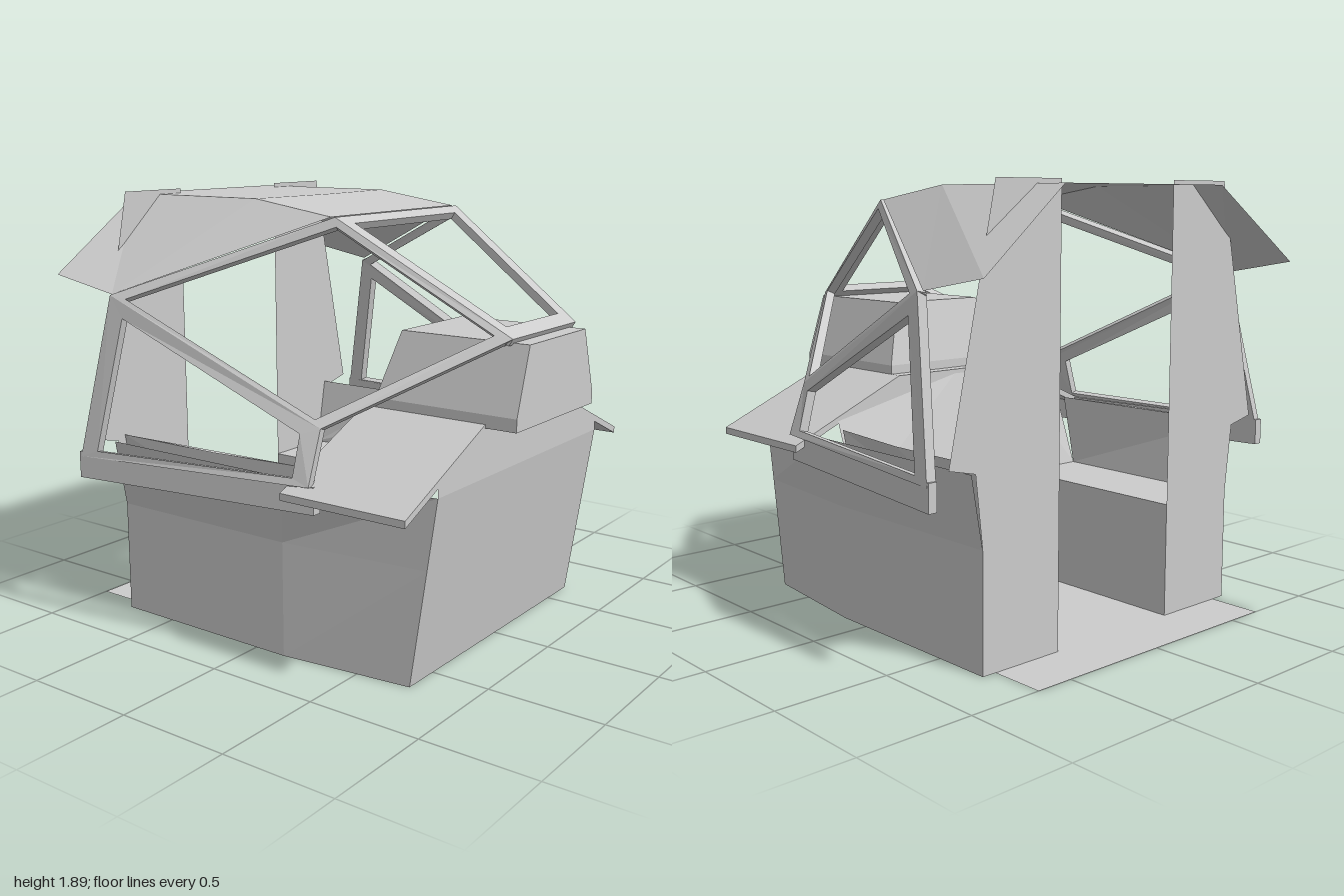
import * as THREE from 'three';

const V = (p) => new THREE.Vector3(...p);
const thin = new THREE.MeshStandardMaterial({ color: 0xcccccc, side: THREE.DoubleSide });
const solid = new THREE.MeshStandardMaterial({ color: 0xcccccc });

// Flat-shaded geometry from convex polygons, each cut into a fan
function polygons(list) {
  const pos = [];
  for (const p of list) {
    for (let i = 1; i < p.length - 1; i++) pos.push(...p[0], ...p[i], ...p[i + 1]);
  }
  const g = new THREE.BufferGeometry();
  g.setAttribute('position', new THREE.Float32BufferAttribute(pos, 3));
  g.computeVertexNormals();
  return g;
}

// Polygons reflected in x, with their corner order reversed
const mirror = (list) => list.map((p) => p.map(([x, y, z]) => [-x, y, z]).reverse());

// Quads joining two loops of equal length
const band = (a, b) => a.map((p, i) => {
  const j = (i + 1) % a.length;
  return [p, a[j], b[j], b[i]];
});

// Mitred window frame: outer corners, a bar width per edge, a depth inwards
function frame(corners, widths, depth) {
  const p = corners.map(V), n = p.length;
  const edge = p.map((q, i) => p[(i + 1) % n].clone().sub(q).normalize());
  const normal = new THREE.Vector3();
  edge.forEach((e, i) => normal.add(e.clone().cross(edge[(i + 1) % n])));
  normal.normalize();
  const inner = p.map((q, i) => {
    const h = (i + n - 1) % n;
    const s = edge[h].clone().cross(edge[i]).length();
    return q.clone().addScaledVector(edge[i], widths[h] / s).addScaledVector(edge[h], -widths[i] / s);
  });
  const back = (loop) => loop.map((q) => q.clone().addScaledVector(normal, -depth).toArray());
  const o = p.map((q) => q.toArray()), i = inner.map((q) => q.toArray());
  const ob = back(p), ib = back(inner);
  return [...band(o, i), ...band(i, ib), ...band(ib, ob), ...band(ob, o)];
}

export function createModel() {
  const model = new THREE.Group();
  const add = (name, geometry, material = thin) => {
    const m = new THREE.Mesh(geometry, material);
    m.name = name;
    model.add(m);
    return m;
  };
  // One mesh holding a half and its reflection
  const whole = (name, list, material) => add(name, polygons([...list, ...mirror(list)]), material);
  // Separate left and right meshes
  const pair = (name, list, material) => {
    add(name + 'Left', polygons(list), material);
    add(name + 'Right', polygons(mirror(list)), material);
  };

  // Floor, with a step plate running out behind
  whole('floor', [
    [[0, 0, 0.74], [0.67, 0, 0.74], [0.735, 0, 0.15], [0.735, 0, -0.76], [0, 0, -0.76]],
    [[0, 0, -0.76], [0.67, 0, -0.76], [0.67, 0, -1], [0, 0, -1]],
  ]);

  // Outer hull: raked front and sides that flare near the top
  const levels = [[0, 0.735, 0.74, 0.15], [0.5, 0.735, 0.815, 0.15], [0.8, 0.79, 0.86, 0.2]].map(
    ([y, w, front, mid]) => [[0, y, front], [0.67, y, front], [w, y, mid], [w, y, -0.76]]);
  const hull = [];
  for (let l = 0; l < 2; l++) {
    const lo = levels[l], up = levels[l + 1];
    for (let i = 0; i < 3; i++) hull.push([lo[i], lo[i + 1], up[i + 1], up[i]]);
  }
  hull.push([[0, 0.8, 0.86], [0.67, 0.8, 0.86], [0.67, 0.86, 0.86], [0.33, 1, 0.86], [0, 1, 0.86]]);
  whole('hull', hull, solid);

  // Rear bulkhead panels either side of the doorway
  const panel = [[0.33, 0], [0.735, 0], [0.735, 0.5], [0.77, 0.8], [0.9, 0.83], [0.67, 1.89], [0.33, 1.89]];
  for (const [side, s] of [['Left', 1], ['Right', -1]]) {
    const shape = new THREE.Shape(panel.map(([x, y]) => new THREE.Vector2(s * x, y)));
    add('rearPanel' + side, new THREE.ShapeGeometry(shape)).position.z = -0.76;
  }

  // Side consoles and sloping inner walls
  pair('sideConsole', [
    [[0.33, 0, -0.76], [0.33, 0, 0.14], [0.33, 0.5, 0.14], [0.33, 0.5, -0.76]],
    [[0.33, 0.5, -0.76], [0.33, 0.5, 0.14], [0.67, 0.5, 0.14], [0.67, 0.5, -0.76]],
  ]);
  pair('innerWall', [
    [[0.67, 0.5, -0.76], [0.67, 0.5, 0.14], [0.68, 0.82, 0.22], [0.73, 0.82, -0.22], [0.73, 0.82, -0.76]],
  ]);

  // Instrument panel and footwell wall
  whole('instrumentPanel', [
    [[0, 1, 0.27], [0, 0.5, 0.14], [0.67, 0.5, 0.14], [0.67, 0.85, 0.27], [0.33, 1, 0.27]],
    [[0, 0.5, 0.14], [0, 0, 0.14], [0.33, 0, 0.14], [0.33, 0.5, 0.14]],
  ]);

  // Cowl: flat centre with wings sloping down past the hull sides
  const cowl = new THREE.Shape([
    [-0.89, 0.77], [-0.89, 0.74], [-0.33, 0.99], [0.33, 0.99], [0.89, 0.74], [0.89, 0.77], [0.33, 1.02], [-0.33, 1.02],
  ].map((p) => new THREE.Vector2(...p)));
  add('cowl', new THREE.ExtrudeGeometry(cowl, { depth: 0.59, bevelEnabled: false })).position.z = 0.27;

  // Tapered instrument hood on the cowl
  const ring = (x, y, back) => [[-x, y, 1], [x, y, 1], [x, y, back], [-x, y, back]];
  const base = ring(0.33, 1.005, 0.33), lip = ring(0.33, 1.06, 0.33), top = ring(0.24, 1.34, 0.4);
  add('instrumentHood', polygons([...band(base, lip), ...band(lip, top), top, base]));

  // Roof: sloped front, flat centre and drooping flanks
  const A = [0.46, 1.81, 0.2], B = [0.46, 1.87, -0.2], C = [0.46, 1.87, -0.91];
  const D = [0.9, 1.54, -0.955], E = [0.9, 1.48, -0.62];
  whole('roof', [
    [[0, 1.81, 0.2], A, B, [0, 1.87, -0.17]],
    [[0, 1.87, -0.17], B, C, [0, 1.87, -0.91]],
    [A, E, B],
    [B, E, D, C],
  ]);

  // Canopy frames
  const nose = [0.27, 1.36, 0.94], brow = [0.46, 1.81, 0.22];
  const knee = [0.77, 1.02, 0.38], rear = [0.92, 1.48, -0.61];
  const foot = [0.85, 0.8, 0.38], heel = [0.995, 0.78, -0.75];
  const flip = ([x, y, z]) => [-x, y, z];
  add('windscreenFrame', polygons(frame([flip(nose), nose, brow, flip(brow)], [0.07, 0.065, 0.05, 0.065], 0.035)));
  pair('sideWindowFrame', frame([nose, knee, rear, brow], [0.045, 0.02, 0.04, 0.03], 0.04));
  pair('lowerWindowFrame', frame([knee, foot, heel, rear], [0.08, 0.03, 0.08, 0.06], 0.04));

  // Sill beams under the lower windows
  const sill = (y) => [[0.83, y, 0.39], [0.995, y, -0.76], [0.955, y, -0.76], [0.79, y, 0.39]];
  pair('sill', [...band(sill(0.685), sill(0.8)), sill(0.8), sill(0.685)]);

  return model;
}
